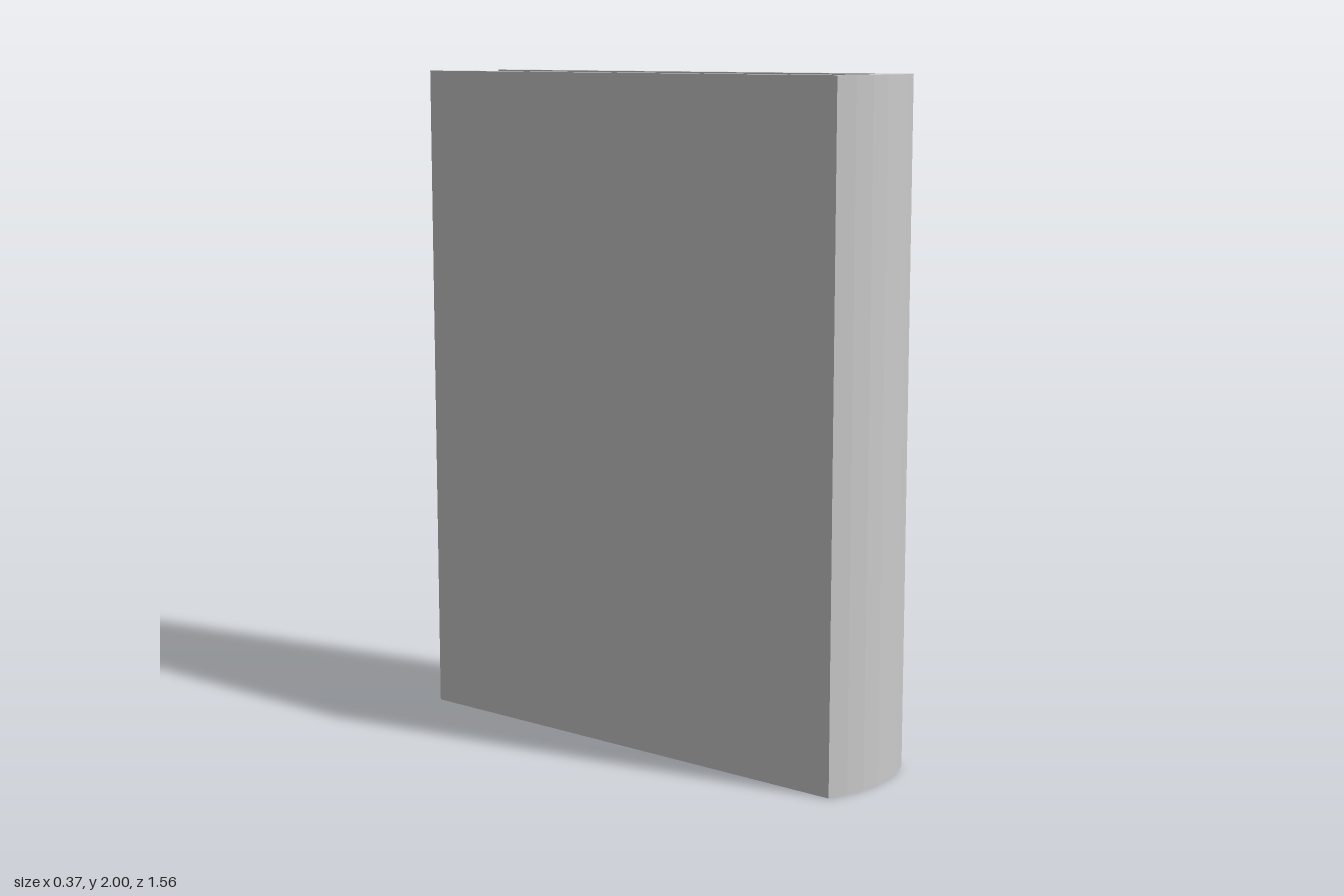
import * as THREE from 'three';

export function createModel() {
  const book = new THREE.Group();
  book.name = 'book';
  const material = new THREE.MeshStandardMaterial({ color: 0xcccccc, flatShading: true });

  const height = 2, halfWidth = 0.185, innerHalf = 0.115;
  const back = -0.78, spineEdge = 0.74, bulge = 0.04, spineInner = 0.7;

  // Cover: U-shaped plan (x, z) with a faceted rounded spine at the front
  const plan = [[innerHalf + 0.005, back], [halfWidth, back]];
  const radius = (halfWidth ** 2 + bulge ** 2) / (2 * bulge);
  const sweep = Math.asin(halfWidth / radius), segments = 6;
  for (let i = 0; i <= segments; i++) {
    const a = sweep * (1 - (2 * i) / segments);
    plan.push([radius * Math.sin(a), spineEdge + bulge - radius * (1 - Math.cos(a))]);
  }
  plan.push(
    [-halfWidth, back], [-innerHalf - 0.005, back], [-innerHalf, back + 0.04],
    [-innerHalf, spineInner], [innerHalf, spineInner], [innerHalf, back + 0.04],
  );
  const shape = new THREE.Shape(plan.map(([x, z]) => new THREE.Vector2(x, z)));
  const coverGeometry = new THREE.ExtrudeGeometry(shape, { depth: height, bevelEnabled: false });
  coverGeometry.rotateX(Math.PI / 2).translate(0, height, 0);
  const cover = new THREE.Mesh(coverGeometry, material);
  cover.name = 'cover';

  // Page block, recessed at the top, bottom and back edge
  const inset = 0.04, pagesBack = back + inset;
  const pages = new THREE.Mesh(
    new THREE.BoxGeometry(innerHalf * 2, height - inset * 2, spineInner - pagesBack), material);
  pages.name = 'pages';
  pages.position.set(0, height / 2, (spineInner + pagesBack) / 2);

  book.add(cover, pages);
  return book;
}
